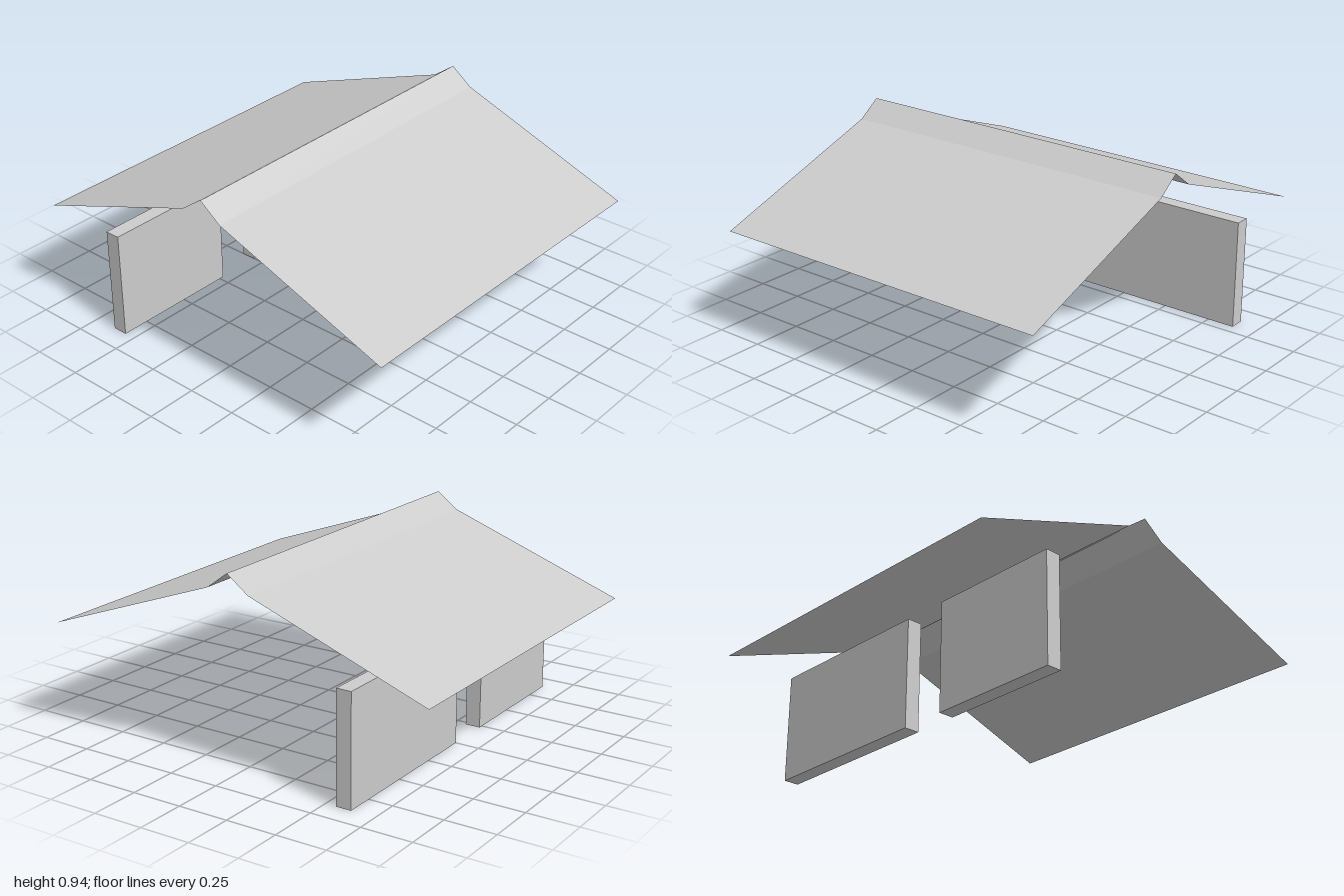
import * as THREE from 'three';

const HALF_WIDTH = 0.888;
const EAVE_Y = 0.535;

// Open sheet swept along x from a (z, y) profile, listed front to back
function sheet(profile, halfWidth) {
  const positions = [];
  for (let i = 0; i < profile.length - 1; i++) {
    const [z0, y0] = profile[i];
    const [z1, y1] = profile[i + 1];
    const a = [-halfWidth, y0, z0], b = [halfWidth, y0, z0];
    const c = [halfWidth, y1, z1], d = [-halfWidth, y1, z1];
    positions.push(...a, ...b, ...c, ...a, ...c, ...d);
  }
  const geometry = new THREE.BufferGeometry();
  geometry.setAttribute('position', new THREE.Float32BufferAttribute(positions, 3));
  geometry.computeVertexNormals();
  return geometry;
}

export function createModel() {
  const model = new THREE.Group();
  model.name = 'shelter';

  const grey = new THREE.MeshStandardMaterial({ color: 0xcccccc, side: THREE.DoubleSide });
  grey.name = 'light grey';

  // Thin gabled roof with a steeper ridge cap
  const profile = [[1, EAVE_Y], [0.11, 0.855], [0, 0.936], [-0.11, 0.855], [-1, EAVE_Y]];
  const roof = new THREE.Mesh(sheet(profile, HALF_WIDTH), grey);
  roof.name = 'roof';
  model.add(roof);

  // Two back wall panels with a doorway gap between them
  const walls = [
    ['rightWall', -HALF_WIDTH, -0.227],
    ['leftWall', 0, HALF_WIDTH],
  ];
  for (const [name, x0, x1] of walls) {
    const wall = new THREE.Mesh(new THREE.BoxGeometry(x1 - x0, EAVE_Y, 0.075), grey);
    wall.name = name;
    wall.position.set((x0 + x1) / 2, EAVE_Y / 2, -0.593);
    model.add(wall);
  }

  return model;
}
